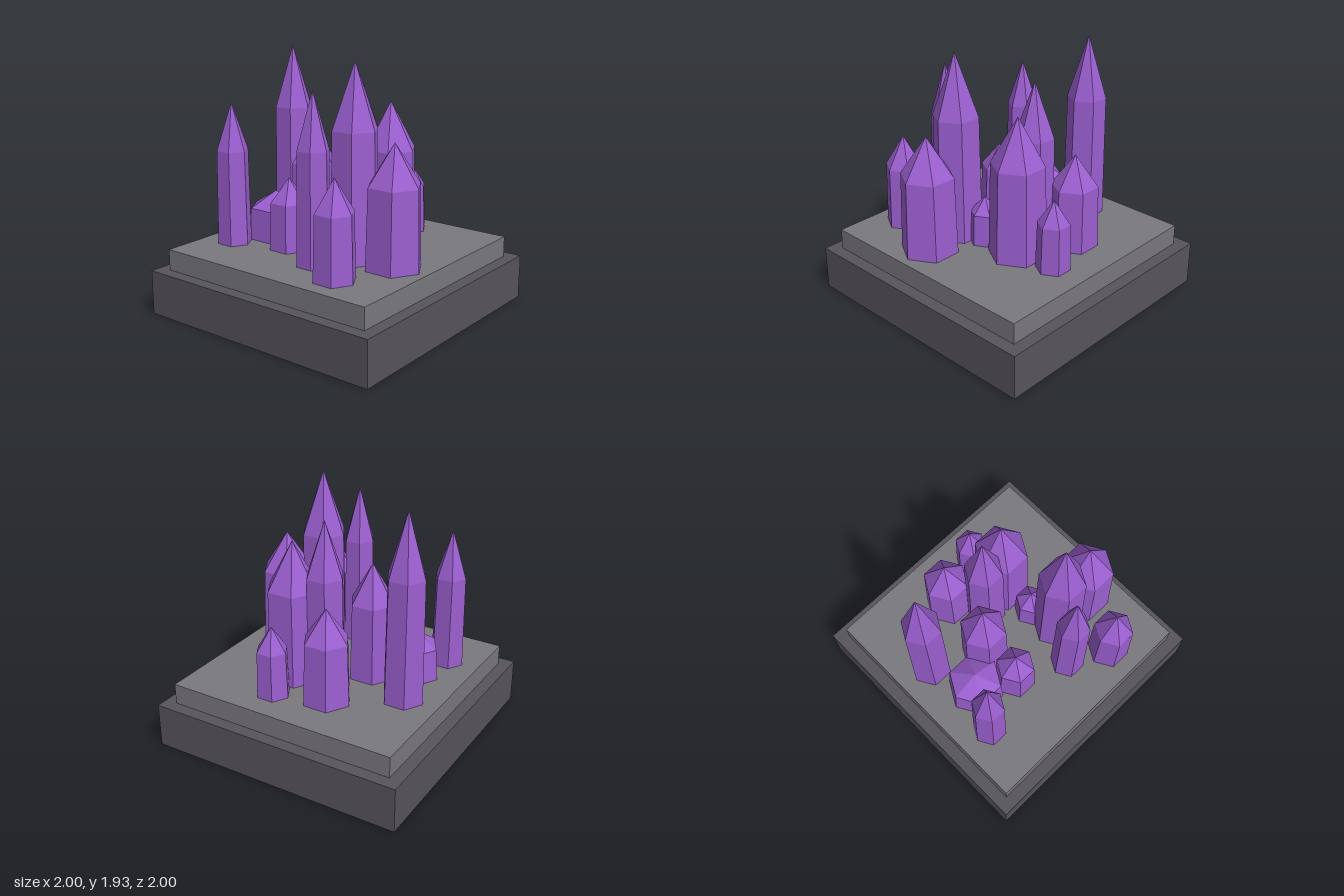
import * as THREE from 'three';

const material = (color) => new THREE.MeshStandardMaterial({ color, flatShading: true });

// Square slab standing on height y
function slab(name, width, y, height, color) {
  const mesh = new THREE.Mesh(new THREE.BoxGeometry(width, height, width), material(color));
  mesh.name = name;
  mesh.position.y = y + height / 2;
  return mesh;
}

// Six-sided crystal: slightly tapering shaft for two thirds, then a point
function crystal(radius, height, mat) {
  const profile = [
    new THREE.Vector2(radius, 0),
    new THREE.Vector2(radius * 0.925, height * 0.665),
    new THREE.Vector2(0, height),
  ];
  return new THREE.Mesh(new THREE.LatheGeometry(profile, 6, Math.PI / 6), mat);
}

export function createModel() {
  const model = new THREE.Group();
  const plateTop = 0.5;

  // Stepped stone base
  model.add(slab('base', 2, 0, 0.34, 0x57545c));
  model.add(slab('plate', 1.81, 0.34, plateTop - 0.34, 0x7a787e));

  // Crystals: x, z, radius, tip height
  const purple = material(0x9b5fd0);
  const crystals = [
    [-0.165, -0.5, 0.187, 1.22],
    [0.21, -0.63, 0.128, 1.04],
    [0.235, -0.31, 0.217, 1.575],
    [0, -0.25, 0.158, 1.755],
    [-0.63, -0.21, 0.158, 1.935],
    [-0.25, 0, 0.187, 1.4],
    [-0.5, 0.16, 0.217, 0.865],
    [0.25, 0, 0.127, 0.865],
    [0.31, 0.23, 0.187, 1.935],
    [0.63, 0.2, 0.217, 1.4],
    [-0.23, 0.315, 0.157, 1.04],
    [-0.65, 0.465, 0.13, 1.575],
    [0.155, 0.5, 0.13, 1.755],
    [0.46, 0.65, 0.158, 1.22],
  ];
  const cluster = new THREE.Group();
  cluster.name = 'crystalCluster';
  crystals.forEach(([x, z, radius, tip], i) => {
    const mesh = crystal(radius, tip - plateTop, purple);
    mesh.name = `crystal${i + 1}`;
    mesh.position.set(x, plateTop, z);
    cluster.add(mesh);
  });
  model.add(cluster);
  return model;
}
